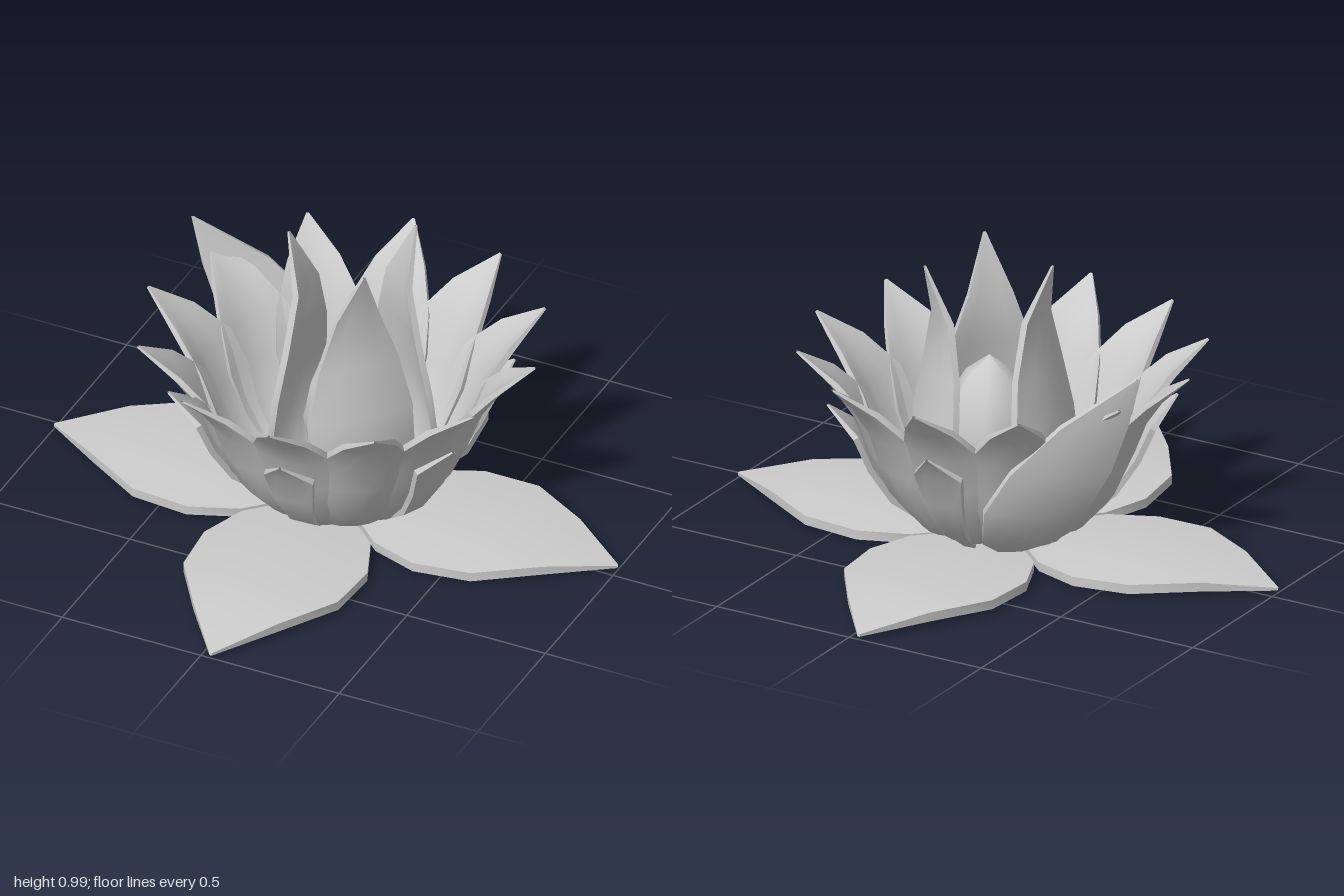
import * as THREE from 'three';
import { toCreasedNormals } from 'three/addons/utils/BufferGeometryUtils.js';

const material = new THREE.MeshStandardMaterial({ color: 0xcccccc, side: THREE.DoubleSide });

// Thick petal growing along +x. Each row is [radius, height, half width].
// cup lifts the edges towards the inner face, skew bends the tip sideways.
function petalGeometry(rows, { thick = 0.02, cup = 2.1, skew = 0 } = {}) {
  const across = 4, ring = 2 * (across + 1), pos = [], index = [];
  rows.forEach(([r, y, w], i) => {
    const before = rows[Math.max(i - 1, 0)], after = rows[Math.min(i + 1, rows.length - 1)];
    const tangent = new THREE.Vector2(after[0] - before[0], after[1] - before[1]).normalize();
    const nr = -tangent.y, ny = tangent.x;
    const t = i / (rows.length - 1);
    const half = (i === rows.length - 1 ? 0.3 : 1) * thick / 2;
    for (let k = 0; k < ring; k++) {
      const inner = k <= across;
      const u = (inner ? k : ring - 1 - k) / across * 2 - 1;
      const lift = cup * (w * u) ** 2 + (inner ? half : -half);
      pos.push(r + nr * lift, y + ny * lift, w * u + skew * t * t);
    }
    if (i === 0) return;
    for (let k = 0; k < ring; k++) {
      const a = (i - 1) * ring + k, b = (i - 1) * ring + (k + 1) % ring;
      index.push(a, b, b + ring, a, b + ring, a + ring);
    }
  });
  const g = new THREE.BufferGeometry();
  g.setAttribute('position', new THREE.Float32BufferAttribute(pos, 3));
  g.setIndex(index);
  return toCreasedNormals(g, 0.6);
}

// Mesh turned to an angle about the vertical axis and pushed outward along it
function place(parent, name, geometry, degrees = 0, outward = 0) {
  const angle = THREE.MathUtils.degToRad(degrees);
  const mesh = new THREE.Mesh(geometry, material);
  mesh.name = name;
  mesh.rotation.y = -angle;
  mesh.position.set(Math.cos(angle) * outward, 0, Math.sin(angle) * outward);
  parent.add(mesh);
}

const lathe = (profile, sides) =>
  new THREE.LatheGeometry(profile.map(([r, y]) => new THREE.Vector2(r, y)), sides);

export function createModel() {
  const model = new THREE.Group();

  // Four broad leaves lying on the ground
  const leaf = petalGeometry([
    [0.0, 0.016, 0.02], [0.1, 0.02, 0.09], [0.24, 0.036, 0.23], [0.4, 0.046, 0.29],
    [0.6, 0.05, 0.275], [0.8, 0.04, 0.15], [1.0, 0.014, 0.004],
  ], { thick: 0.032, cup: -0.25 });
  for (let i = 0; i < 4; i++) place(model, 'baseLeaf', leaf, -2 + 90 * i);

  // The flower sits slightly off the centre of the leaves
  const flower = new THREE.Group();
  flower.name = 'flower';
  flower.position.set(0.013, 0, -0.013);
  model.add(flower);

  // Ring of twelve tall petals
  const tall = petalGeometry([
    [0.16, 0.05, 0.05], [0.28, 0.09, 0.09], [0.37, 0.19, 0.125], [0.43, 0.32, 0.15],
    [0.48, 0.45, 0.14], [0.56, 0.57, 0.085], [0.67, 0.67, 0.004],
  ]);
  for (let i = 0; i < 12; i++) place(flower, 'tallPetal', tall, 84.5 + 30 * i);

  // Six short, nearly flat petals standing off the ring
  const short = petalGeometry([
    [0.24, 0.06, 0.02], [0.36, 0.15, 0.04], [0.435, 0.27, 0.065],
    [0.485, 0.39, 0.085], [0.57, 0.48, 0.004],
  ], { cup: 0.3 });
  for (let i = 0; i < 6; i++) place(flower, 'shortPetal', short, 84.5 + 60 * i);

  // Three upright inner petals, one standing further out
  const inner = petalGeometry([
    [0.08, 0.05, 0.06], [0.17, 0.13, 0.13], [0.21, 0.27, 0.18], [0.19, 0.44, 0.18],
    [0.155, 0.62, 0.14], [0.135, 0.8, 0.075], [0.19, 0.99, 0.004],
  ], { thick: 0.022, cup: 1.2 });
  for (const [angle, outward] of [[180, 0], [42, 0.01], [-52, 0.08]]) {
    place(flower, 'innerPetal', inner, angle, outward);
  }

  // One large petal fallen open and bending sideways
  place(flower, 'fallenPetal', petalGeometry([
    [0.25, 0.06, 0.04], [0.39, 0.14, 0.12], [0.47, 0.27, 0.17], [0.51, 0.42, 0.165],
    [0.55, 0.6, 0.11], [0.575, 0.77, 0.004],
  ], { thick: 0.025, cup: 0.6, skew: -0.38 }), 233);

  // Pointed seven-sided bud
  const bud = new THREE.Group();
  bud.position.set(0.035, 0, -0.025);
  flower.add(bud);
  place(bud, 'bud', lathe([
    [0, 0.05], [0.09, 0.1], [0.15, 0.22], [0.17, 0.34], [0.145, 0.47], [0.08, 0.58], [0, 0.64],
  ], 7));

  // Shallow cup joining the petal bases
  place(flower, 'flowerBase', lathe([[0, 0.03], [0.2, 0.05], [0.28, 0.09], [0.2, 0.1], [0, 0.08]], 12));

  return model;
}
